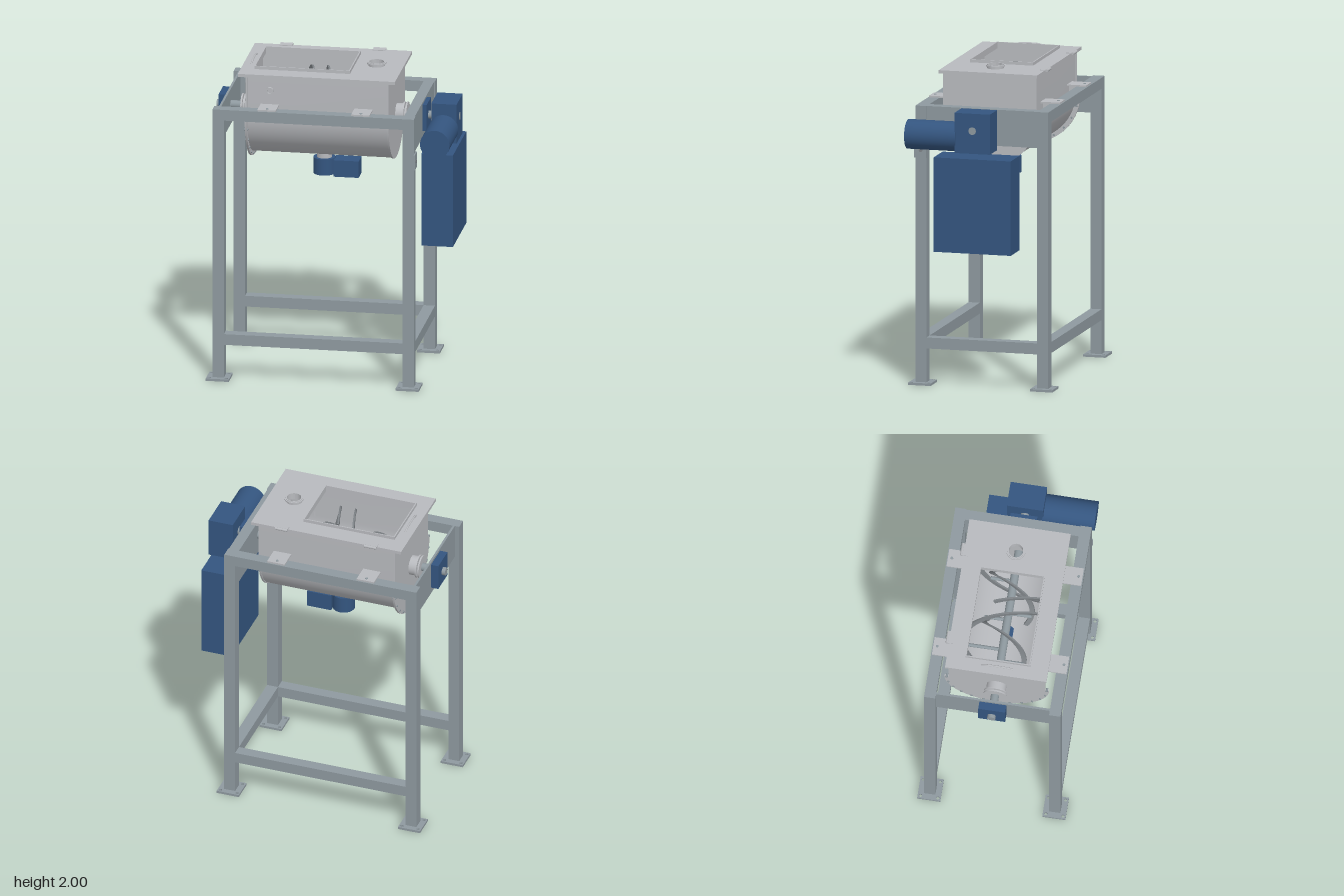
import * as THREE from 'three';
import { toCreasedNormals } from 'three/addons/utils/BufferGeometryUtils.js';

const material = (name, color) => Object.assign(new THREE.MeshStandardMaterial({ color }), { name });

export function createModel() {
  const model = new THREE.Group();
  model.name = 'ribbonMixer';
  const steel = material('light steel', 0xb8babe);
  const frame = material('grey frame', 0x8e999f);
  const blue = material('blue paint', 0x34557f);
  const ribbon = material('dark steel', 0x7d8286);
  ribbon.side = THREE.DoubleSide;

  const add = (name, geometry, mat, x = 0, y = 0, z = 0) => {
    const mesh = new THREE.Mesh(geometry, mat);
    mesh.name = name;
    mesh.position.set(x, y, z);
    model.add(mesh);
    return mesh;
  };
  // Box given by its limits on each axis
  const box = (name, mat, x0, x1, y0, y1, z0, z1) =>
    add(name, new THREE.BoxGeometry(x1 - x0, y1 - y0, z1 - z0), mat, (x0 + x1) / 2, (y0 + y1) / 2, (z0 + z1) / 2);
  // Cylinder along an axis, from a to b; p and q are the other two coordinates in xyz order
  const rod = (name, mat, axis, a, b, p, q, r, sides = 32) => {
    const g = new THREE.CylinderGeometry(r, r, b - a, sides);
    const m = (a + b) / 2;
    if (axis === 'x') return add(name, g.rotateZ(-Math.PI / 2), mat, m, p, q);
    if (axis === 'z') return add(name, g.rotateX(Math.PI / 2), mat, p, q, m);
    return add(name, g, mat, p, m, q);
  };
  const extrude = (shape, depth, curveSegments = 24) => toCreasedNormals(
    new THREE.ExtrudeGeometry(shape, { depth, bevelEnabled: false, curveSegments }), 0.5);
  const circle = (x, y, r) => new THREE.Path().absarc(x, y, r, 0, Math.PI * 2, true);
  const rect = (x0, x1, y0, y1, Kind = THREE.Shape) => new Kind([
    [x0, y0], [x1, y0], [x1, y1], [x0, y1]].map(([x, y]) => new THREE.Vector2(x, y)));
  // Horizontal plate cut from a plan shape
  const plate = (name, mat, shape, y, thick) => add(name, extrude(shape, thick).rotateX(-Math.PI / 2), mat, 0, y);
  // Tube or ring with an open bore, upright
  const ring = (outer, inner, h) => {
    const s = new THREE.Shape().absarc(0, 0, outer, 0, Math.PI * 2, false);
    s.holes.push(circle(0, 0, inner));
    return extrude(s, h).rotateX(-Math.PI / 2);
  };

  // Frame: legs, foot plates and rails
  const Z = 0.395, H = 0.036;
  for (const x of [-0.695, 0.507]) {
    for (const z of [-Z, Z]) {
      box('leg', frame, x - H, x + H, 0.015, 1.77, z - H, z + H);
      const foot = rect(x - 0.073, x + 0.073, -z - 0.073, -z + 0.073);
      for (const i of [-1, 1]) for (const j of [-1, 1])
        foot.holes.push(circle(x + i * 0.054, -z + j * 0.054, 0.01));
      plate('footPlate', frame, foot, 0, 0.015);
    }
  }
  for (const z of [-Z, Z]) {
    box('topRail', frame, -0.659, 0.471, 1.7, 1.77, z - H, z + H);
    box('lowerRail', frame, -0.659, 0.471, 0.23, 0.3, z - H, z + H);
  }
  box('lowerSideRail', frame, 0.471, 0.543, 0.23, 0.3, -0.359, 0.359);
  box('leftEndPanel', frame, 0.471, 0.538, 1.54, 1.77, -0.359, 0.359);
  box('rightEndPanel', frame, -0.702, -0.688, 1.54, 1.77, -0.359, 0.359);
  box('legBracket', frame, 0.543, 0.551, 1.44, 1.54, 0.359, 0.437);
  rod('bracketBolt', ribbon, 'x', 0.55, 0.554, 1.49, 0.395, 0.012, 16);

  // Trough: U-shaped shell and end plates
  const CY = 1.69, R = 0.3;
  const uShape = (w, r, top) => new THREE.Shape()
    .moveTo(-w, top).lineTo(-w, CY).lineTo(-r, CY).absarc(0, CY, r, Math.PI, Math.PI * 2, false)
    .lineTo(w, CY).lineTo(w, top);
  const shell = new THREE.Shape().moveTo(-R, 1.955).lineTo(-R, CY)
    .absarc(0, CY, R, Math.PI, Math.PI * 2, false).lineTo(R, 1.955).lineTo(R - 0.008, 1.955)
    .lineTo(R - 0.008, CY).absarc(0, CY, R - 0.008, 0, Math.PI, true).lineTo(-R + 0.008, 1.955);
  add('troughShell', extrude(shell, 0.89).rotateY(Math.PI / 2), steel, -0.535);
  add('rightEndPlate', extrude(uShape(0.305, 0.33, 1.955), 0.012).rotateY(Math.PI / 2), steel, -0.545);
  add('leftEndPlate', extrude(uShape(0.303, 0.305, 1.955), 0.012).rotateY(Math.PI / 2), steel, 0.35);
  for (let i = 0; i <= 12; i++) {
    const a = Math.PI * (1 + i / 12);
    rod('flangeBolt', frame, 'x', -0.551, -0.527, CY + 0.316 * Math.sin(a), 0.316 * Math.cos(a), 0.007, 8);
  }

  // Lid with hatch opening, spout and hinges
  const lid = rect(-0.59, 0.405, -0.32, 0.32);
  lid.holes.push(rect(-0.5, 0.095, -0.2, 0.2, THREE.Path), circle(0.235, 0, 0.046));
  plate('lid', steel, lid, 1.955, 0.02);
  const rim = rect(-0.505, 0.1, -0.205, 0.205);
  rim.holes.push(rect(-0.498, 0.093, -0.198, 0.198, THREE.Path));
  plate('hatchRim', steel, rim, 1.955, 0.04);
  add('spout', ring(0.052, 0.045, 0.045), steel, 0.235, 1.955);
  add('spoutFlange', ring(0.06, 0.045, 0.008), steel, 0.235, 1.988);
  const arc = new THREE.CatmullRomCurve3([[-0.1, 0], [-0.07, 0.012], [0, 0.016], [0.07, 0.012], [0.1, 0]]
    .map(([z, y]) => new THREE.Vector3(0, y, z)));
  add('lidHandle', new THREE.TubeGeometry(arc, 20, 0.006, 8), steel, -0.54, 1.974);
  for (const x of [-0.39, 0.2]) {
    box('hinge', steel, x - 0.04, x + 0.04, 1.972, 1.98, -0.335, -0.29);
    rod('hingePin', steel, 'x', x - 0.04, x + 0.04, 1.975, -0.333, 0.009, 12);
  }
  add('samplePort', ring(0.023, 0.016, 0.02).rotateX(Math.PI / 2), steel, -0.39, 1.87, 0.295);

  // Mounting tabs and gussets on both long sides
  for (const s of [-1, 1]) for (const x of [-0.39, 0.203]) {
    const tab = rect(x - 0.058, x + 0.058, s > 0 ? 0.295 : -0.425, s > 0 ? 0.425 : -0.295);
    plate('mountTab', steel, tab, 1.771, 0.01);
    rod('tabBolt', frame, 'y', 1.78, 1.784, x, s * 0.4, 0.009, 12);
    const gusset = new THREE.Shape().moveTo(0, 1.772).lineTo(0.06, 1.772).lineTo(0.015, 1.68).lineTo(-0.005, 1.68);
    const g = extrude(gusset, 0.01).translate(0.295, 0, -0.005).rotateY(-s * Math.PI / 2);
    add('gusset', g, steel, x);
  }

  // Shaft, seals and bearings
  const SY = 1.67;
  rod('shaft', frame, 'x', -0.775, 0.61, SY, 0, 0.026);
  for (const s of [-1, 1]) {
    const at = (d0, d1) => (s > 0 ? [0.36 + d0, 0.36 + d1] : [-0.543 - d1, -0.543 - d0]);
    rod('sealHousing', steel, 'x', ...at(0, 0.05), SY, 0, 0.062);
    rod('sealFlange', steel, 'x', ...at(0.046, 0.056), SY, 0, 0.073);
    rod('sealGland', steel, 'x', ...at(0.056, 0.064), SY, 0, 0.045);
    rod('sealFlange', steel, 'x', ...at(0.064, 0.074), SY, 0, 0.073);
  }
  box('rightBearing', blue, -0.752, -0.703, 1.587, 1.757, -0.085, 0.085);
  box('leftBearing', blue, 0.518, 0.565, 1.587, 1.757, -0.085, 0.085);

  // Helical ribbons: a rectangular bar swept about the shaft
  const helix = (x0, x1, r, w, peak, hand) => {
    const N = 64, pos = [], index = [];
    const corners = [[-0.006, -w], [0.006, -w], [0.006, w], [-0.006, w]];
    for (let i = 0; i <= N; i++) {
      const x = x0 + (x1 - x0) * i / N;
      const a = 2 * Math.PI * (x - peak) / 0.46;
      for (const [dx, dr] of corners)
        pos.push(x + dx, SY + hand * (r + dr) * Math.sin(a), (r + dr) * Math.cos(a));
      if (i < N) for (let k = 0; k < 4; k++) {
        const p = i * 4 + k, q = i * 4 + (k + 1) % 4;
        index.push(p, q, p + 4, q, q + 4, p + 4);
      }
    }
    index.push(0, 2, 1, 0, 3, 2, N * 4, N * 4 + 1, N * 4 + 2, N * 4, N * 4 + 2, N * 4 + 3);
    const g = new THREE.BufferGeometry();
    g.setAttribute('position', new THREE.Float32BufferAttribute(pos, 3));
    g.setIndex(index);
    return toCreasedNormals(g, 0.6);
  };
  add('innerRibbon', helix(-0.52, -0.1, 0.145, 0.016, -0.37, 1), ribbon);
  add('innerRibbon', helix(-0.09, 0.33, 0.145, 0.016, -0.04, 1), ribbon);
  add('outerRibbon', helix(-0.52, -0.1, 0.258, 0.016, -0.51, -1), ribbon);
  add('outerRibbon', helix(-0.09, 0.33, 0.258, 0.016, 0.05, -1), ribbon);
  for (const [x, reach] of [[-0.385, 0.145], [-0.31, -0.255], [-0.11, -0.145], [-0.065, 0.145], [0.15, -0.145], [0.28, 0.255]])
    rod('ribbonArm', frame, 'z', Math.min(0, reach), Math.max(0, reach), x, SY, 0.011, 16);

  // Discharge valve under the trough
  rod('dischargeNeck', steel, 'y', 1.355, 1.394, -0.095, 0, 0.048);
  rod('dischargeOpening', blue, 'y', 1.392, 1.4, -0.095, 0, 0.046);
  rod('valveBody', blue, 'y', 1.255, 1.36, -0.095, 0, 0.07);
  box('valveActuator', blue, -0.03, 0.13, 1.247, 1.355, -0.055, 0.055);

  // Drive: gearbox, motor and control cabinet
  box('gearbox', blue, 0.6, 0.76, 1.525, 1.78, -0.115, 0.115);
  rod('gearboxShaftEnd', frame, 'x', 0.755, 0.763, SY, 0, 0.024);
  rod('motor', blue, 'z', 0.11, 0.44, 0.677, 1.615, 0.093, 40);
  box('controlCabinet', blue, 0.56, 0.76, 0.89, 1.49, -0.25, 0.25);
  return model;
}
